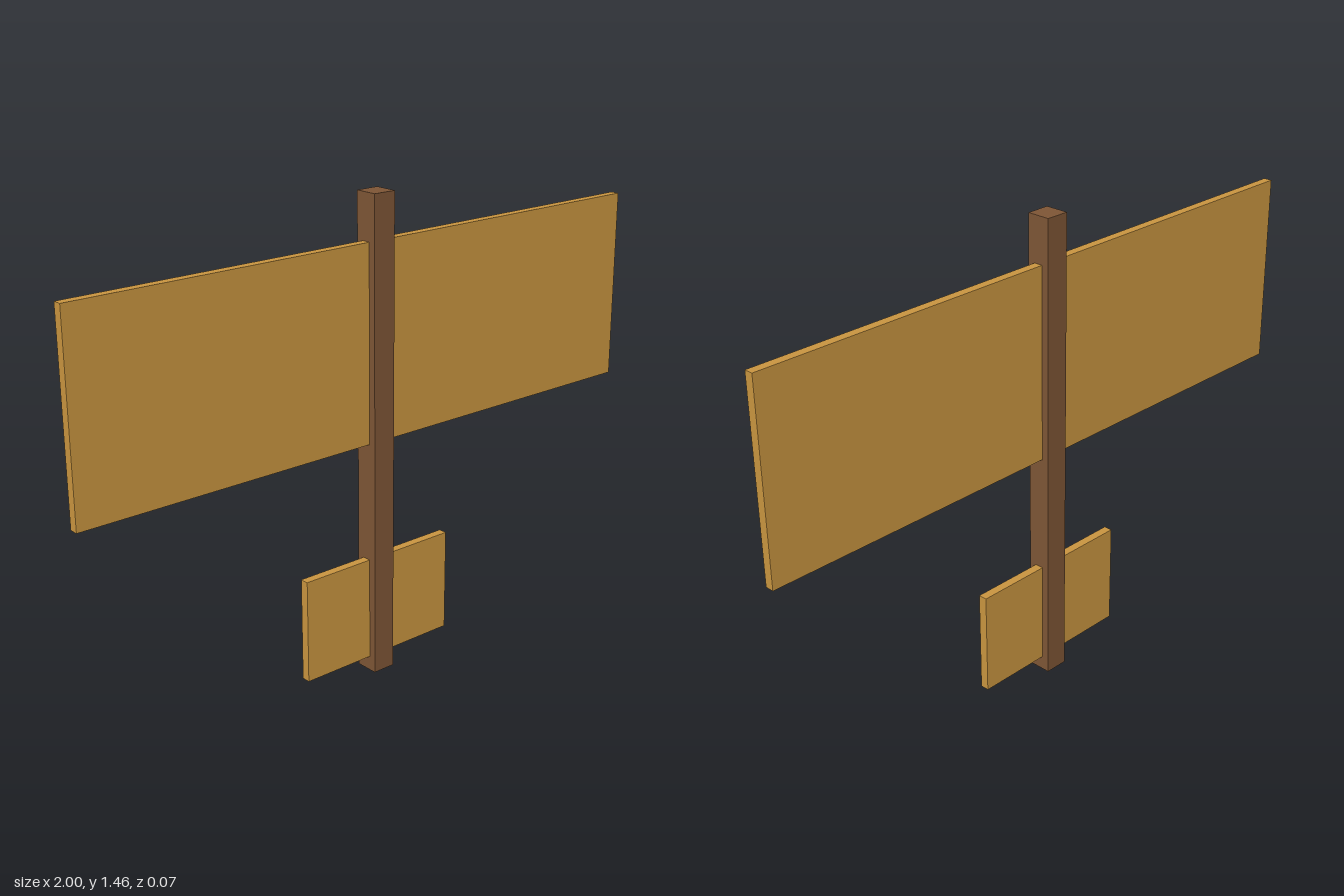
import * as THREE from 'three';

export function createModel() {
  const group = new THREE.Group();
  const paleWood = new THREE.MeshStandardMaterial({ color: 0xc8943f });
  paleWood.name = 'paleWood';
  const darkWood = new THREE.MeshStandardMaterial({ color: 0x7d5535 });
  darkWood.name = 'darkWood';

  // Box centred on x and z, spanning bottom to top
  function addBox(name, width, bottom, top, depth, material) {
    const mesh = new THREE.Mesh(new THREE.BoxGeometry(width, top - bottom, depth), material);
    mesh.position.y = (bottom + top) / 2;
    mesh.name = name;
    group.add(mesh);
  }

  // Upright spar
  addBox('spar', 0.073, 0, 1.455, 0.073, darkWood);
  // Wide upper panel and small lower panel, passing through the spar
  addBox('mainWing', 2, 0.727, 1.318, 0.027, paleWood);
  addBox('tailWing', 0.545, 0.045, 0.364, 0.027, paleWood);

  return group;
}
